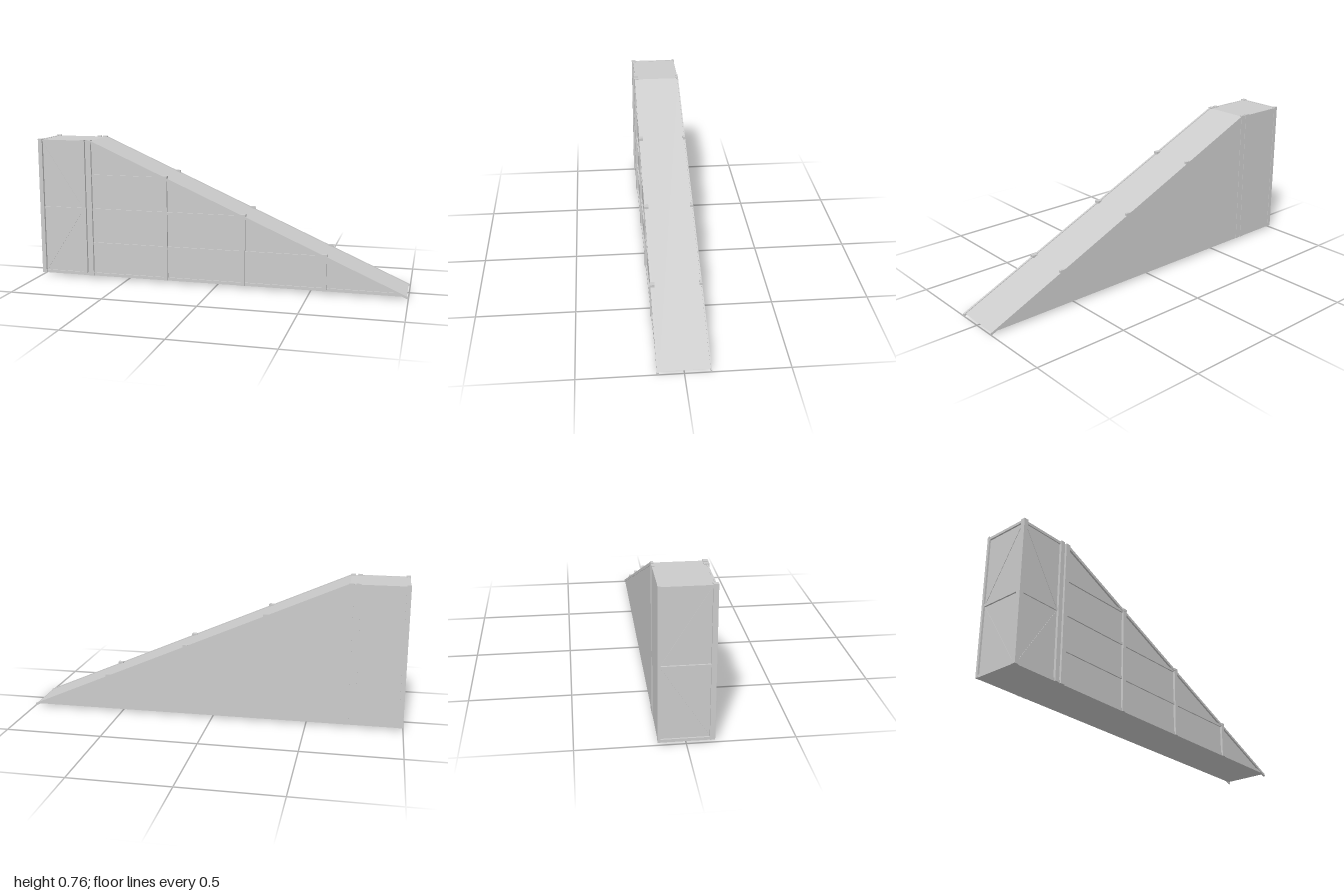
import * as THREE from 'three';

const material = new THREE.MeshStandardMaterial({ color: 0xcccccc, flatShading: true });

const BASE = 0.012, TOP = 0.757, KNEE = -0.7;
const slopeY = (x) => TOP - ((TOP - BASE) * (x - KNEE)) / (1 - KNEE);

export function createModel() {
  const model = new THREE.Group();

  const add = (name, geometry) => {
    const mesh = new THREE.Mesh(geometry, material);
    mesh.name = name;
    model.add(mesh);
    return mesh;
  };
  // Box given by its minimum and maximum on each axis
  const box = (name, x0, x1, y0, y1, z0, z1) =>
    add(name, new THREE.BoxGeometry(x1 - x0, y1 - y0, z1 - z0)
      .translate((x0 + x1) / 2, (y0 + y1) / 2, (z0 + z1) / 2));
  // Side outline (x, y) carried from z0 to z1
  const slab = (name, points, z0, z1) => {
    const shape = new THREE.Shape(points.map(([x, y]) => new THREE.Vector2(x, y)));
    const geometry = new THREE.ExtrudeGeometry(shape, { depth: z1 - z0, bevelEnabled: false });
    return add(name, geometry.translate(0, 0, z0));
  };
  // Thin brace between two points
  const brace = (name, a, b) => {
    const from = new THREE.Vector3(...a), to = new THREE.Vector3(...b);
    const mesh = add(name, new THREE.BoxGeometry(0.004, 0.004, from.distanceTo(to)));
    mesh.position.copy(from).lerp(to, 0.5);
    mesh.lookAt(to);
  };

  // Closed body: walls, floor, platform and sloping deck
  slab('rampBody', [
    [-0.99, BASE], [0.992, BASE], [KNEE, TOP - 0.003], [-0.99, TOP - 0.003],
  ], -0.126, 0.117);

  // Sloping edge rails, reaching the ground at the low end
  const railOutline = [[KNEE, TOP - 0.016], [0.985, 0.005], [1, 0], [1, BASE], [KNEE, TOP]];
  slab('frontSlopeRail', railOutline, 0.116, 0.127);
  slab('backSlopeRail', railOutline, -0.128, -0.122);

  // Platform and base rails
  box('frontPlatformRail', -0.99, -0.74, TOP - 0.016, TOP - 0.002, 0.115, 0.123);
  box('frontBaseRail', -0.99, 0.96, BASE, BASE + 0.016, 0.115, 0.124);

  // Posts of the platform and head of the ramp, front and back
  for (const [x0, x1] of [[-1, -0.977], [-0.755, -0.731], [-0.72, -0.695]]) {
    box('frontPost', x0, x1, BASE, TOP + 0.002, 0.106, 0.13);
    box('backPost', x0, x1, BASE, TOP + 0.002, -0.128, -0.115);
  }

  // Ramp posts with caps, each starting a level rail that runs back to the platform
  for (const x of [-0.28, 0.145, 0.575]) {
    const y = slopeY(x);
    box('frontRampPost', x - 0.011, x + 0.011, BASE, y, 0.11, 0.129);
    box('frontPostCap', x - 0.015, x + 0.013, y - 0.006, y + 0.007, 0.106, 0.13);
    box('backPostCap', x - 0.015, x + 0.013, y - 0.006, y + 0.007, -0.128, -0.115);
    box('levelRail', KNEE, x, y - 0.014, y, 0.115, 0.124);
  }

  // Platform bay: middle rail and braces on the front
  const mid = 0.387;
  box('frontMiddleRail', -0.98, -0.75, mid - 0.014, mid, 0.115, 0.123);
  brace('frontUpperBrace', [-0.977, TOP - 0.02, 0.117], [-0.755, mid, 0.117]);
  brace('frontLowerBrace', [-0.755, mid - 0.014, 0.117], [-0.977, BASE + 0.016, 0.117]);

  // High end: rails and braces across the end wall
  for (const y of [TOP - 0.002, mid, BASE + 0.014]) {
    box('endRail', -0.998, -0.985, y - 0.014, y, -0.12, 0.11);
  }
  brace('endUpperBrace', [-0.99, TOP - 0.016, 0.106], [-0.99, mid, -0.115]);
  brace('endLowerBrace', [-0.99, mid - 0.014, -0.115], [-0.99, BASE + 0.014, 0.106]);

  return model;
}
